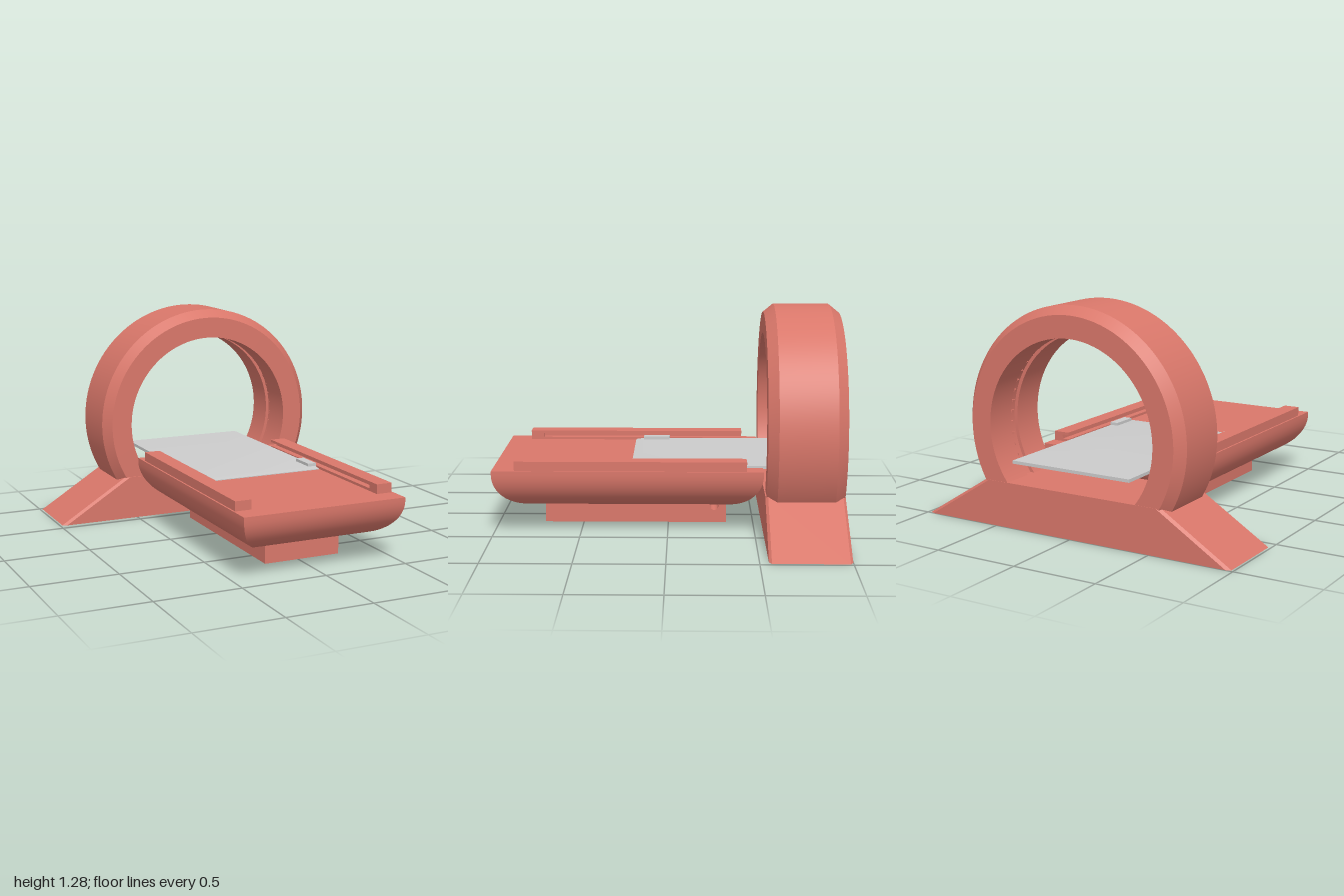
import * as THREE from 'three';
import { toCreasedNormals } from 'three/addons/utils/BufferGeometryUtils.js';

const red = new THREE.MeshStandardMaterial({ color: 0xd9776a });
const grey = new THREE.MeshStandardMaterial({ color: 0xcccccc });

function add(parent, name, geometry, material = red) {
  const mesh = new THREE.Mesh(geometry, material);
  mesh.name = name;
  parent.add(mesh);
  return mesh;
}

// Box given by its min and max on each axis
function box(x0, x1, y0, y1, z0, z1) {
  return new THREE.BoxGeometry(x1 - x0, y1 - y0, z1 - z0)
    .translate((x0 + x1) / 2, (y0 + y1) / 2, (z0 + z1) / 2);
}

// Solid through four-cornered sections; corners run counter-clockwise seen from the last section
function loft(sections) {
  const pos = [];
  const quad = (a, b, c, d) => [a, b, c, a, c, d].forEach((p) => pos.push(...p));
  for (let i = 0; i < sections.length - 1; i++) {
    const s = sections[i], t = sections[i + 1];
    for (let k = 0; k < 4; k++) {
      const n = (k + 1) % 4;
      quad(s[k], s[n], t[n], t[k]);
    }
  }
  quad(...[...sections[0]].reverse());
  quad(...sections[sections.length - 1]);
  const g = new THREE.BufferGeometry();
  g.setAttribute('position', new THREE.Float32BufferAttribute(pos, 3));
  return toCreasedNormals(g, 0.5);
}

function rectPath(x0, x1, y0, y1, Type = THREE.Shape) {
  return new Type([[x0, y0], [x1, y0], [x1, y1], [x0, y1]].map((p) => new THREE.Vector2(...p)));
}

function makeGantry() {
  const gantry = new THREE.Group();
  gantry.name = 'gantry';

  // Chamfered ring with a shallow groove in the bore, ends buried in the foot
  const profile = [
    [0.525, -0.998], [0.65, -0.998], [0.697, -0.94], [0.697, -0.615], [0.65, -0.557], [0.525, -0.557],
    [0.525, -0.75], [0.545, -0.75], [0.545, -0.81], [0.525, -0.81], [0.525, -0.998],
  ].map(([r, z]) => new THREE.Vector2(r, z));
  const start = THREE.MathUtils.degToRad(48);
  const ring = new THREE.LatheGeometry(profile, 96, start, 2 * (Math.PI - start));
  ring.rotateX(Math.PI / 2).translate(0, 0.58, 0);
  add(gantry, 'ring', toCreasedNormals(ring.toNonIndexed(), 0.5));

  // Small studs along the groove
  const studs = new THREE.Group();
  studs.name = 'boreStuds';
  gantry.add(studs);
  for (let i = 0; i <= 36; i++) {
    const a = THREE.MathUtils.degToRad(-30 + (240 * i) / 36);
    const stud = add(studs, 'stud', new THREE.BoxGeometry(0.012, 0.014, 0.02));
    stud.position.set(0.541 * Math.cos(a), 0.58 + 0.541 * Math.sin(a), -0.78);
    stud.rotation.z = a;
  }

  // Sloping foot with bevelled slopes
  const section = (z, d) => {
    const w = 0.985 - 1.9 * d, t = 0.57 - 1.9 * d;
    return [[-w, 0, z], [w, 0, z], [t, 0.26, z], [-t, 0.26, z]];
  };
  add(gantry, 'foot', loft([section(-1, 0.014), section(-0.985, 0), section(-0.565, 0), section(-0.55, 0.014)]));
  return gantry;
}

function makeBed() {
  const bed = new THREE.Group();
  bed.name = 'bed';

  // Hull with sides and ends rounding in towards the bottom
  const sections = [];
  const level = (y, ix, iz) => {
    const x = 0.49 - ix, f = 1 - iz, b = -0.545 + iz;
    sections.push([[-x, y, f], [x, y, f], [x, y, b], [-x, y, b]]);
  };
  const steps = 14;
  for (let i = 0; i <= steps; i++) {
    const a = (i / steps) * Math.PI / 2;
    level(0.36 - 0.215 * Math.cos(a), 0.21 * (1 - Math.sin(a)), 0.25 * (1 - Math.sin(a)));
  }
  level(0.38, 0, 0);
  add(bed, 'hull', loft(sections));

  // Side rails with a slot along the inner face
  for (const side of [-1, 1]) {
    const rail = new THREE.Group();
    rail.name = side > 0 ? 'leftRail' : 'rightRail';
    bed.add(rail);
    const part = (name, x0, x1, ...rest) =>
      add(rail, name, box(Math.min(side * x0, side * x1), Math.max(side * x0, side * x1), ...rest));
    part('railWall', 0.425, 0.48, 0.38, 0.435, -0.45, 0.87);
    part('railLip', 0.385, 0.425, 0.42, 0.435, -0.45, 0.87);
    part('railLedge', 0.385, 0.425, 0.38, 0.395, -0.45, 0.87);
    part('railEnd', 0.385, 0.425, 0.395, 0.42, 0.79, 0.87);
  }

  // Pedestal with a round side opening and a slotted rear plate
  const side = rectPath(-0.72, 0.31, 0.017, 0.15);
  side.holes.push(new THREE.Path().absarc(0.27, 0.115, 0.025, 0, Math.PI * 2, true));
  const body = new THREE.ExtrudeGeometry(side, { depth: 0.46, bevelEnabled: false, curveSegments: 16 });
  add(bed, 'pedestal', body.translate(0, 0, -0.23).rotateY(Math.PI / 2));
  const rear = rectPath(-0.23, 0.23, 0.017, 0.15);
  rear.holes.push(rectPath(-0.08, 0.08, 0.085, 0.115, THREE.Path));
  const plate = new THREE.ExtrudeGeometry(rear, { depth: 0.03, bevelEnabled: false });
  add(bed, 'pedestalRearPlate', plate.translate(0, 0, -0.34));
  return bed;
}

function makeTable() {
  const table = new THREE.Group();
  table.name = 'slidingTable';

  // Thin top with a tapered front edge
  const slab = (z, top) => [[-0.38, 0.374, z], [0.38, 0.374, z], [0.38, top, z], [-0.38, top, z]];
  add(table, 'tableTop', loft([slab(-0.995, 0.392), slab(0.155, 0.392), slab(0.21, 0.384)]), grey);
  for (const s of [-1, 1]) {
    const pad = add(table, s > 0 ? 'leftPad' : 'rightPad', new THREE.BoxGeometry(0.052, 0.022, 0.16), grey);
    pad.position.set(s * 0.358, 0.398, 0.08);
  }
  return table;
}

export function createModel() {
  const model = new THREE.Group();
  model.name = 'scanner';
  model.add(makeGantry(), makeBed(), makeTable());
  return model;
}
